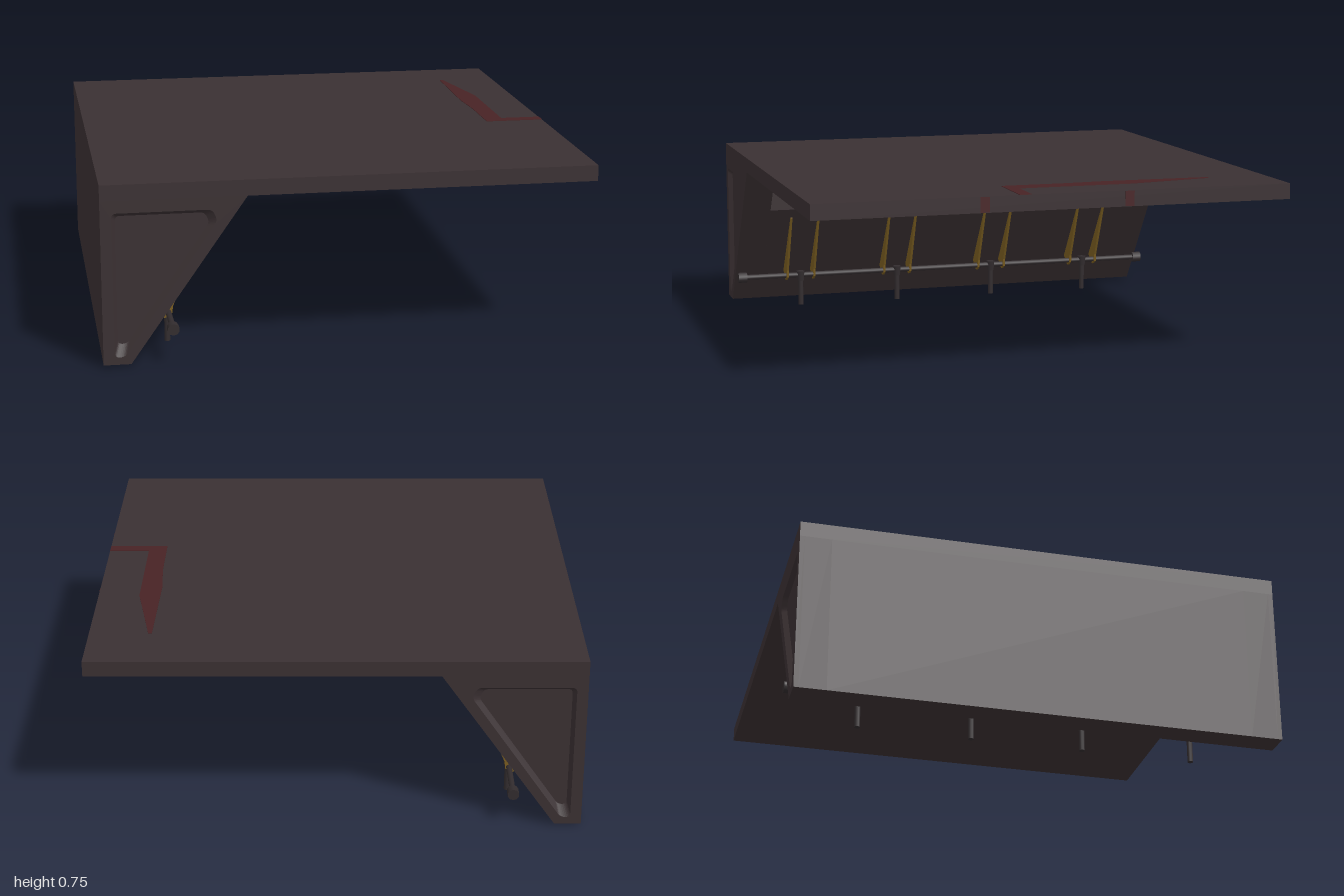
import * as THREE from 'three';

const mat = (name, color, side = THREE.FrontSide) => {
  const m = new THREE.MeshStandardMaterial({ color, side });
  m.name = name;
  return m;
};

export function createModel() {
  const hull = mat('dark umber', 0x3a3032);
  const metal = mat('dark metal', 0x322c2e);
  const gold = mat('dull gold', 0x7a5d20);
  const red = mat('dark red', 0x482325);

  const model = new THREE.Group();
  model.name = 'hangingPlatform';

  const add = (name, geometry, material, x = 0, y = 0, z = 0) => {
    const mesh = new THREE.Mesh(geometry, material);
    mesh.name = name;
    mesh.position.set(x, y, z);
    model.add(mesh);
    return mesh;
  };
  const shapeOf = (pts) => new THREE.Shape(pts.map(([x, y]) => new THREE.Vector2(x, y)));
  // Prism of an xy profile between two z values
  const prism = (name, shape, z0, z1, material) =>
    add(name, new THREE.ExtrudeGeometry(shape, { depth: z1 - z0, bevelEnabled: false }), material, 0, 0, z0);

  // Closed loop with rounded corners
  const roundedLoop = (pts, r) => {
    const v = pts.map(([x, y]) => new THREE.Vector2(x, y));
    const out = [];
    v.forEach((p, i) => {
      const towards = (q) => p.clone().add(q.clone().sub(p).setLength(r));
      const a = towards(v[(i + v.length - 1) % v.length]);
      const b = towards(v[(i + 1) % v.length]);
      out.push(...new THREE.QuadraticBezierCurve(a, p, b).getPoints(5));
    });
    return out;
  };

  // Deck slab
  add('deck', new THREE.BoxGeometry(2, 0.065, 2), hull, 0, 0.7125, 0);

  // Wedge support: notched in the middle, full at both ends
  const wedge = [[-1, 0.01], [-0.89, 0.01], [-0.42, 0.68], [-1, 0.68]];
  const notched = [[-1, 0.01], [-0.89, 0.01], [-0.56, 0.48], [-0.56, 0.68], [-1, 0.68]];
  const depth = 0.02, notchZ = 0.87;
  prism('wedgeMiddle', shapeOf(notched), -notchZ, notchZ, hull);

  // End walls with a bevelled, recessed triangular panel
  const outer = roundedLoop([[-0.955, 0.04], [-0.915, 0.04], [-0.54, 0.585], [-0.56, 0.63], [-0.955, 0.63]], 0.02);
  const centre = new THREE.Vector2(-0.815, 0.493);
  const inner = outer.map((p) => p.clone().sub(centre).multiplyScalar(0.89).add(centre));
  for (const s of [1, -1]) {
    const zs = (a, b) => (s > 0 ? [a, b] : [-b, -a]);
    prism('wedgeEnd', shapeOf(wedge), ...zs(notchZ, 1 - depth), hull);
    const frame = shapeOf(wedge);
    frame.holes.push(new THREE.Path(outer));
    prism('panelFrame', frame, ...zs(1 - depth, 1), hull);

    const pos = [];
    outer.forEach((o, i) => {
      const j = (i + 1) % outer.length;
      const a = [o.x, o.y, s], b = [outer[j].x, outer[j].y, s];
      const c = [inner[j].x, inner[j].y, s * (1 - depth)], d = [inner[i].x, inner[i].y, s * (1 - depth)];
      const quad = s > 0 ? [a, b, c, a, c, d] : [a, c, b, a, d, c];
      pos.push(...quad.flat());
    });
    const bevel = new THREE.BufferGeometry();
    bevel.setAttribute('position', new THREE.Float32BufferAttribute(pos, 3));
    bevel.computeVertexNormals();
    add('panelBevel', bevel, hull);
  }

  // Row of triangular gussets under the deck
  const gusset = shapeOf([[-0.57, 0.505], [-0.545, 0.505], [-0.425, 0.68], [-0.57, 0.68]]);
  for (let i = -4; i <= 4; i++) {
    const z = i * 0.1745;
    prism('gusset', gusset, z - 0.031, z + 0.031, hull);
  }

  // Rail with end caps
  const railX = -0.72, railY = 0.143;
  add('rail', new THREE.CylinderGeometry(0.012, 0.012, 1.98, 10), metal, railX, railY, 0).rotation.x = Math.PI / 2;
  for (const s of [1, -1]) {
    add('railCap', new THREE.CylinderGeometry(0.024, 0.024, 0.04, 10), metal, railX, railY, s * 0.98).rotation.x = Math.PI / 2;
  }

  // Hanging posts, each with a collar and a pair of gold fins
  const fin = shapeOf([[-0.8, 0.165], [-0.735, 0.118], [-0.705, 0.135], [-0.7, 0.17], [-0.588, 0.435], [-0.59, 0.452]]);
  for (let i = 0; i < 4; i++) {
    const z = 0.704 - i * 0.4675;
    add('post', new THREE.CylinderGeometry(0.012, 0.012, 0.14, 10), metal, railX, 0.07, z);
    add('postCollar', new THREE.CylinderGeometry(0.02, 0.016, 0.045, 10), metal, railX, 0.138, z);
    for (const s of [1, -1]) {
      const c = z + s * 0.064;
      prism('fin', fin, c - 0.005, c + 0.005, gold);
    }
  }

  // Painted marking on the deck
  const mark = shapeOf([
    [0.745, 0.74], [0.76, 0.74], [0.8, 0.52], [0.828, 0.37], [0.828, -0.11],
    [1, -0.11], [1, -0.16], [0.75, -0.16], [0.75, 0.1], [0.738, 0.28],
  ]);
  const marking = add('deckMarking', new THREE.ExtrudeGeometry(mark, { depth: 0.003, bevelEnabled: false }), red, 0, 0.744, 0);
  marking.rotation.x = -Math.PI / 2;

  // Painted stripes on the deck edge
  for (const s of [1, -1]) {
    add('edgeStripe', new THREE.BoxGeometry(0.004, 0.062, 0.038), red, 0.9995, 0.7125, s * 0.302);
  }

  return model;
}
